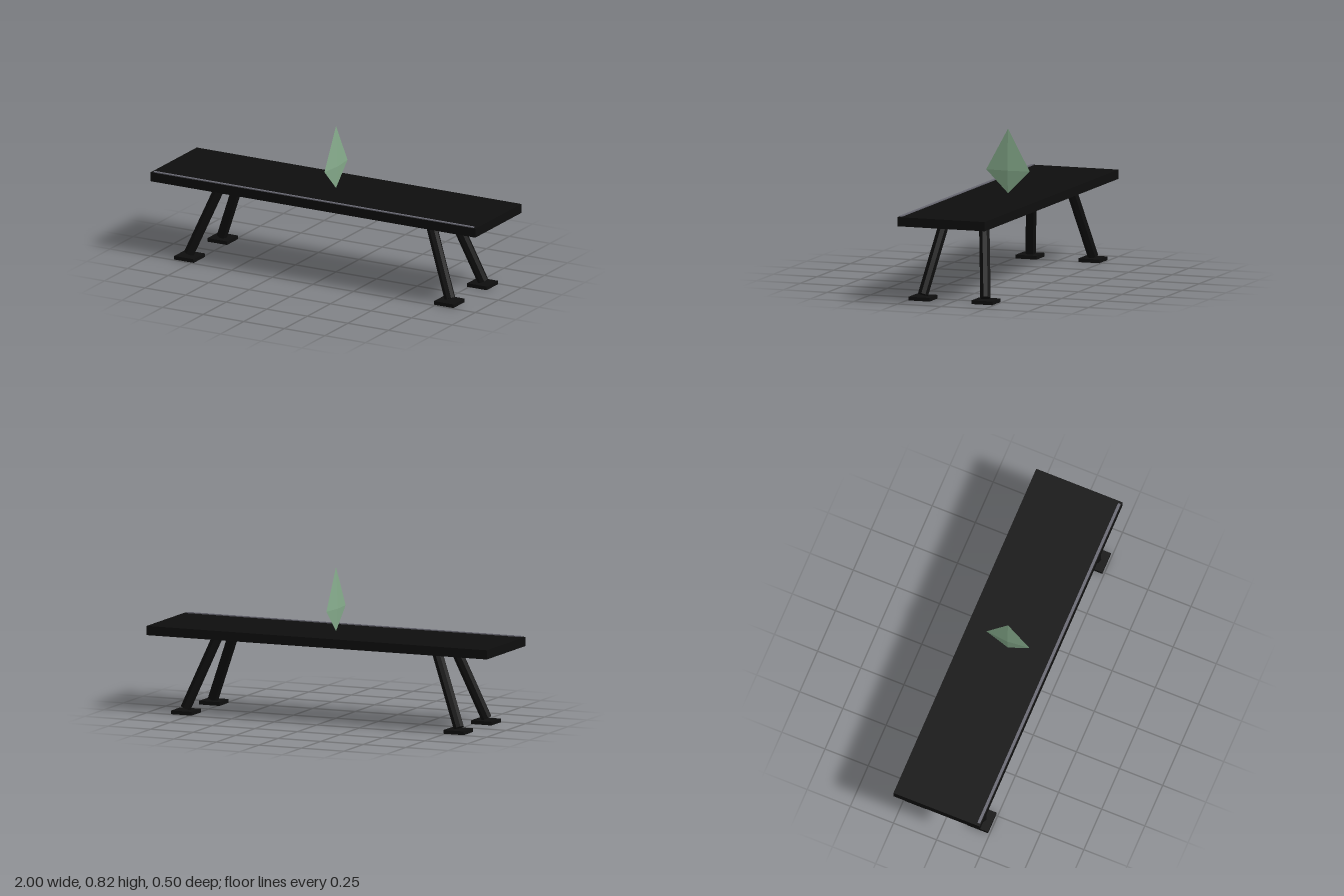
import * as THREE from 'three';

const black = new THREE.MeshStandardMaterial({ name: 'black', color: 0x0e0e0e, flatShading: true });
const grey = new THREE.MeshStandardMaterial({ name: 'trimGrey', color: 0x6a6a74 });
const green = new THREE.MeshStandardMaterial({ name: 'paleGreen', color: 0x88ae8e, flatShading: true });

export function createModel() {
  const model = new THREE.Group();
  model.name = 'table';

  const add = (name, geometry, material, x, y, z) => {
    const mesh = new THREE.Mesh(geometry, material);
    mesh.name = name;
    mesh.position.set(x, y, z);
    model.add(mesh);
    return mesh;
  };

  // Slab and the raised strip along its front edge
  add('tableTop', new THREE.BoxGeometry(2, 0.05, 0.5), black, 0, 0.446, 0);
  add('edgeStrip', new THREE.BoxGeometry(1.97, 0.006, 0.015), grey, 0, 0.473, 0.238);

  // Four splayed legs, each on a square foot
  const up = new THREE.Vector3(0, 1, 0);
  for (const sx of [1, -1]) {
    for (const sz of [1, -1]) {
      const side = (sz > 0 ? 'front' : 'back') + (sx > 0 ? 'Left' : 'Right');
      const top = new THREE.Vector3(0.64 * sx, 0.43, 0.109 * sz);
      const bottom = new THREE.Vector3(0.803 * sx, 0.028, 0.179 * sz);
      const axis = top.clone().sub(bottom);
      const middle = top.clone().add(bottom).multiplyScalar(0.5);
      const leg = add(side + 'Leg', new THREE.CylinderGeometry(0.03, 0.03, axis.length(), 8),
        black, middle.x, middle.y, middle.z);
      leg.quaternion.setFromUnitVectors(up, axis.normalize());
      add(side + 'Foot', new THREE.BoxGeometry(0.12, 0.02, 0.12), black, 0.8 * sx, 0.01, 0.18 * sz);
    }
  }

  // Thin upright crystal: an octahedron stretched upwards and flattened sideways
  const crystal = new THREE.OctahedronGeometry(1);
  const p = crystal.attributes.position;
  for (let i = 0; i < p.count; i++) {
    const y = p.getY(i);
    p.setXYZ(i, p.getX(i) * 0.011, y * (y > 0 ? 0.226 : 0.123), p.getZ(i) * 0.125);
  }
  crystal.computeVertexNormals();
  add('crystal', crystal, green, 0, 0.595, 0);

  return model;
}
